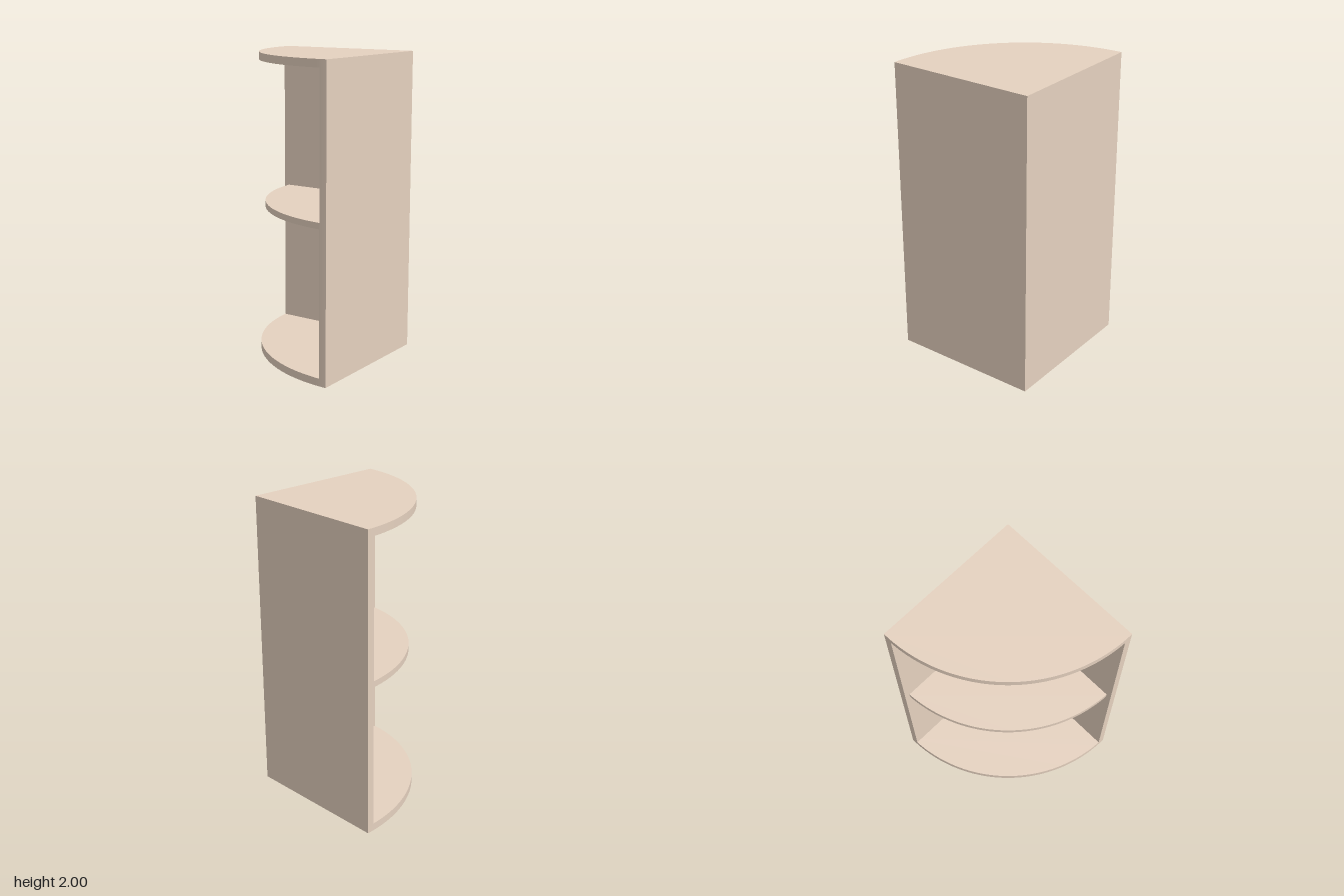
import * as THREE from 'three';
import { toCreasedNormals } from 'three/addons/utils/BufferGeometryUtils.js';

const T = 0.05; // panel thickness
const QUARTER = Math.PI * 1.5;

// Plan shapes have the wall corner at the origin and spread towards -x, -y.
// Each runs through its straight corners, then round an arc about the origin.
function planShape(corners, radius, from, to) {
  const s = new THREE.Shape();
  s.moveTo(...corners[0]);
  for (const c of corners.slice(1)) s.lineTo(...c);
  s.lineTo(radius * Math.cos(from), radius * Math.sin(from));
  s.absarc(0, 0, radius, from, to, false);
  s.closePath();
  return s;
}

// Quarter-round board, held clear of both walls by the inset
function boardShape(radius, inset) {
  const a = Math.asin(inset / radius);
  return planShape([[-inset, -inset]], radius, Math.PI + a, QUARTER - a);
}

export function createModel() {
  const group = new THREE.Group();
  const wood = new THREE.MeshStandardMaterial({ color: 0xe5d1bf });
  wood.name = 'paleWood';

  // Raises a plan shape from y0 to y1 at the back left corner
  function add(name, shape, y0, y1) {
    const extruded = new THREE.ExtrudeGeometry(shape, {
      depth: y1 - y0, bevelEnabled: false, curveSegments: 64,
    });
    const geometry = toCreasedNormals(extruded, 0.4);
    geometry.rotateX(-Math.PI / 2);
    geometry.translate(0.5, y0, -0.5);
    const mesh = new THREE.Mesh(geometry, wood);
    mesh.name = name;
    group.add(mesh);
  }

  // Quarter-round boards
  add('bottomBoard', boardShape(1, 0), 0, T);
  add('middleShelf', boardShape(0.965, T), 0.98, 1.02);
  add('topBoard', boardShape(1, 0), 2 - T, 2);

  // Upright panels, their free ends following the round of the boards
  const a = Math.asin(T);
  const back = planShape([[0, -T], [0, 0]], 1, Math.PI, Math.PI + a);
  add('backPanel', back, T, 2 - T);
  const side = planShape([[0, -T], [-T, -T]], 1, QUARTER - a, QUARTER);
  add('sidePanel', side, T, 2 - T);

  return group;
}
